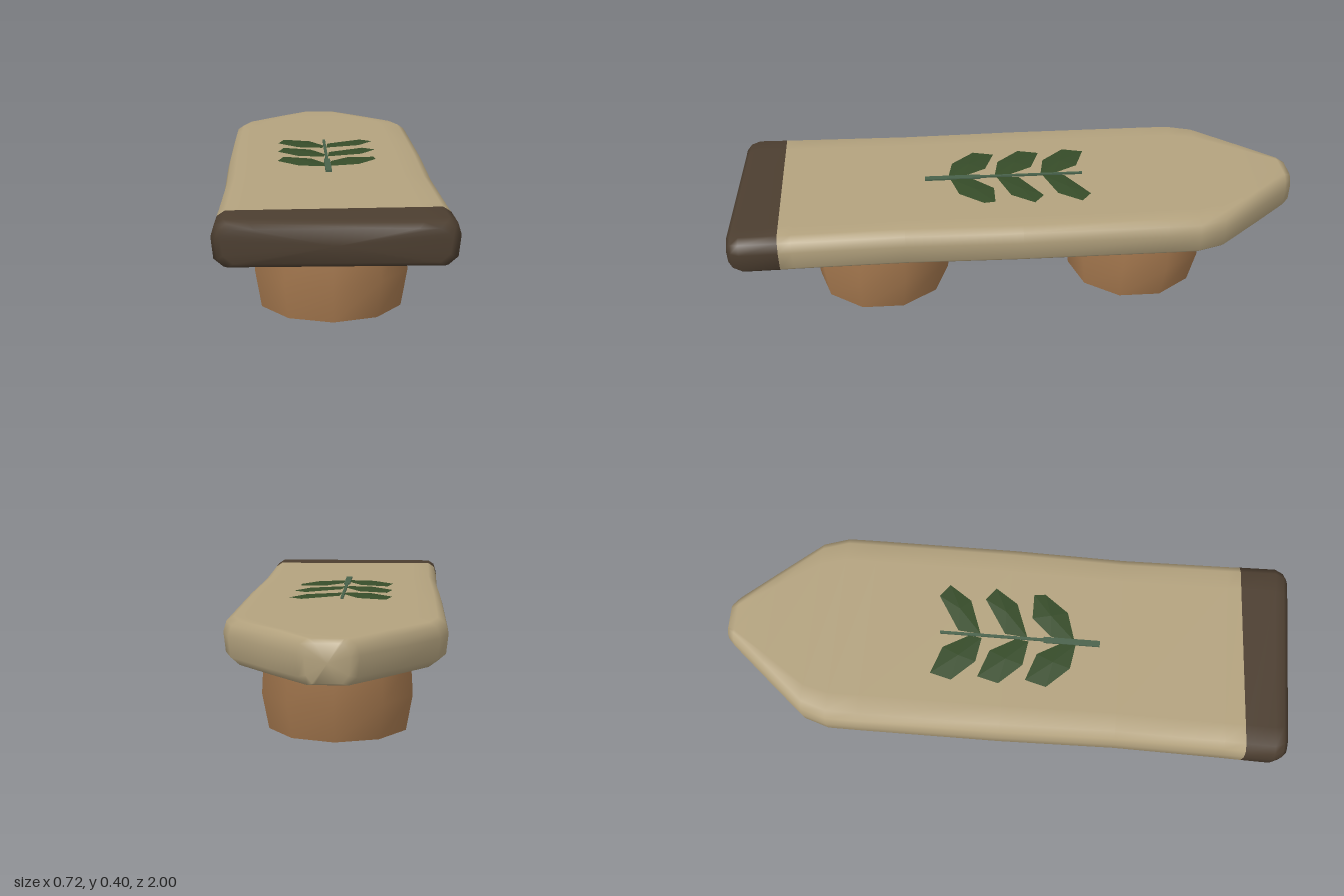
import * as THREE from 'three';

const mat = (name, color) => {
  const m = new THREE.MeshStandardMaterial({ color });
  m.name = name;
  return m;
};

// Half cross-section of the board, top to bottom: corners eased by a bevel
function halfSection(w, shrink) {
  const b = Math.min(0.035, w * 0.35);
  const top = 0.396 - shrink, bottom = 0.256 + shrink;
  return [
    [(w - b) * 0.8, top], [w - b, top], [w - b * 0.3, 0.38 - shrink], [w, 0.345],
    [w - b * 0.2, 0.28 + shrink], [w - b, bottom], [(w - b) * 0.8, bottom],
  ];
}

// Board lofted from front end to the pointed back; first part is the dipped end
function boardGeometry() {
  // z, half width, height inset, slant of the ring across x
  const stations = [
    [1, 0.33, 0.02, 0], [0.985, 0.347, 0.006, 0], [0.955, 0.36, 0, 0], [0.84, 0.358, 0, -0.04],
    [0.78, 0.356, 0, 0], [0.4, 0.35, 0, 0], [0, 0.358, 0, 0], [-0.5, 0.358, 0, 0],
    [-0.61, 0.357, 0, 0], [-0.7, 0.328, 0, 0], [-0.85, 0.2, 0, 0], [-0.975, 0.092, 0.002, 0],
    [-1, 0.066, 0.012, 0],
  ];
  const darkSpans = 3;
  const pos = [], index = [];
  let n = 0;
  for (const [z, w, shrink, slant] of stations) {
    const half = halfSection(w, shrink);
    const ring = [...half, ...half.map(([x, y]) => [-x, y]).reverse()];
    n = ring.length;
    for (const [x, y] of ring) pos.push(x, y, z + slant * x);
  }
  const front = pos.length / 3, back = front + 1;
  pos.push(0, 0.326, 1, 0, 0.326, -1);
  const last = (stations.length - 1) * n;
  for (let j = 0; j < n; j++) index.push(front, (j + 1) % n, j);
  let split = 0;
  for (let i = 0; i < stations.length - 1; i++) {
    if (i === darkSpans) split = index.length;
    for (let j = 0; j < n; j++) {
      const k = (j + 1) % n, a = i * n + j, b = i * n + k;
      index.push(a, b, a + n, b, b + n, a + n);
    }
  }
  for (let j = 0; j < n; j++) index.push(back, last + j, last + (j + 1) % n);
  const g = new THREE.BufferGeometry();
  g.setAttribute('position', new THREE.Float32BufferAttribute(pos, 3));
  g.setIndex(index);
  g.computeVertexNormals();
  g.addGroup(0, split, 0);
  g.addGroup(split, index.length - split, 1);
  return g;
}

// Faceted leaf: outline fanned around a slightly raised middle
function leafGeometry(outline, dz) {
  const n = outline.length;
  const cx = outline.reduce((s, p) => s + p[0], 0) / n;
  const cz = outline.reduce((s, p) => s + p[1], 0) / n;
  const pos = [];
  for (let j = 0; j < n; j++) {
    const [ax, az] = outline[j], [bx, bz] = outline[(j + 1) % n];
    pos.push(cx, 0.404, cz + dz, bx, 0.398, bz + dz, ax, 0.398, az + dz);
  }
  const g = new THREE.BufferGeometry();
  g.setAttribute('position', new THREE.Float32BufferAttribute(pos, 3));
  g.computeVertexNormals();
  return g;
}

// Stubby ten-sided foot, widest at mid height and leaning a little at the base
function footGeometry(lean) {
  const h = 0.242;
  const g = new THREE.CylinderGeometry(0.252, 0.238, h, 10, 2);
  const p = g.attributes.position;
  for (let i = 0; i < p.count; i++) {
    const y = p.getY(i), s = Math.abs(y) < 0.01 ? 1.06 : 1;
    p.setXYZ(i, p.getX(i) * s, y, p.getZ(i) * s + lean * (0.5 - y / h));
  }
  g.computeVertexNormals();
  // keep the wall smooth across its seam
  const nor = g.attributes.normal;
  for (let r = 0; r < 3; r++) {
    const a = r * 11, b = a + 10;
    const v = new THREE.Vector3().fromBufferAttribute(nor, a)
      .add(new THREE.Vector3().fromBufferAttribute(nor, b)).normalize();
    nor.setXYZ(a, v.x, v.y, v.z);
    nor.setXYZ(b, v.x, v.y, v.z);
  }
  return g;
}

export function createModel() {
  const model = new THREE.Group();
  const tan = mat('tan', 0xb3a27e);
  const dark = mat('darkBrown', 0x4c3e30);
  const brown = mat('brown', 0xa2764d);
  const green = mat('leafGreen', 0x364c29);
  const stemGreen = mat('stemGreen', 0x48614a);
  green.side = THREE.DoubleSide;
  const add = (name, geometry, material, parent = model) => {
    const mesh = new THREE.Mesh(geometry, material);
    mesh.name = name;
    parent.add(mesh);
    return mesh;
  };

  // Board with dipped front end
  add('board', boardGeometry(), [dark, tan]);

  // Feet
  add('frontFoot', footGeometry(0.012), brown).position.set(0, 0.124, 0.488);
  add('backFoot', footGeometry(0.015), brown).position.set(0, 0.124, -0.452);

  // Painted sprig: stem and three pairs of leaves
  const sprig = new THREE.Group();
  sprig.name = 'sprig';
  model.add(sprig);
  add('lowerStem', new THREE.BoxGeometry(0.022, 0.006, 0.2), stemGreen, sprig).position.set(0, 0.399, 0.23);
  add('upperStem', new THREE.BoxGeometry(0.01, 0.006, 0.37), stemGreen, sprig).position.set(0, 0.399, -0.055);
  const right = [[-0.175, 0.15], [-0.155, 0.075], [-0.055, 0.11], [-0.004, 0.2], [-0.01, 0.245], [-0.1, 0.23]];
  const left = [[0.005, 0.24], [0.012, 0.16], [0.14, 0.08], [0.185, 0.115], [0.13, 0.195]];
  const leftLow = [[0.004, 0.24], [0.015, 0.155], [0.08, 0.085], [0.17, 0.085], [0.175, 0.125], [0.11, 0.21]];
  [0, -0.168, -0.335].forEach((dz, i) => {
    add('rightLeaf', leafGeometry(right, dz), green, sprig);
    add('leftLeaf', leafGeometry(i ? left : leftLow, dz), green, sprig);
  });
  return model;
}
